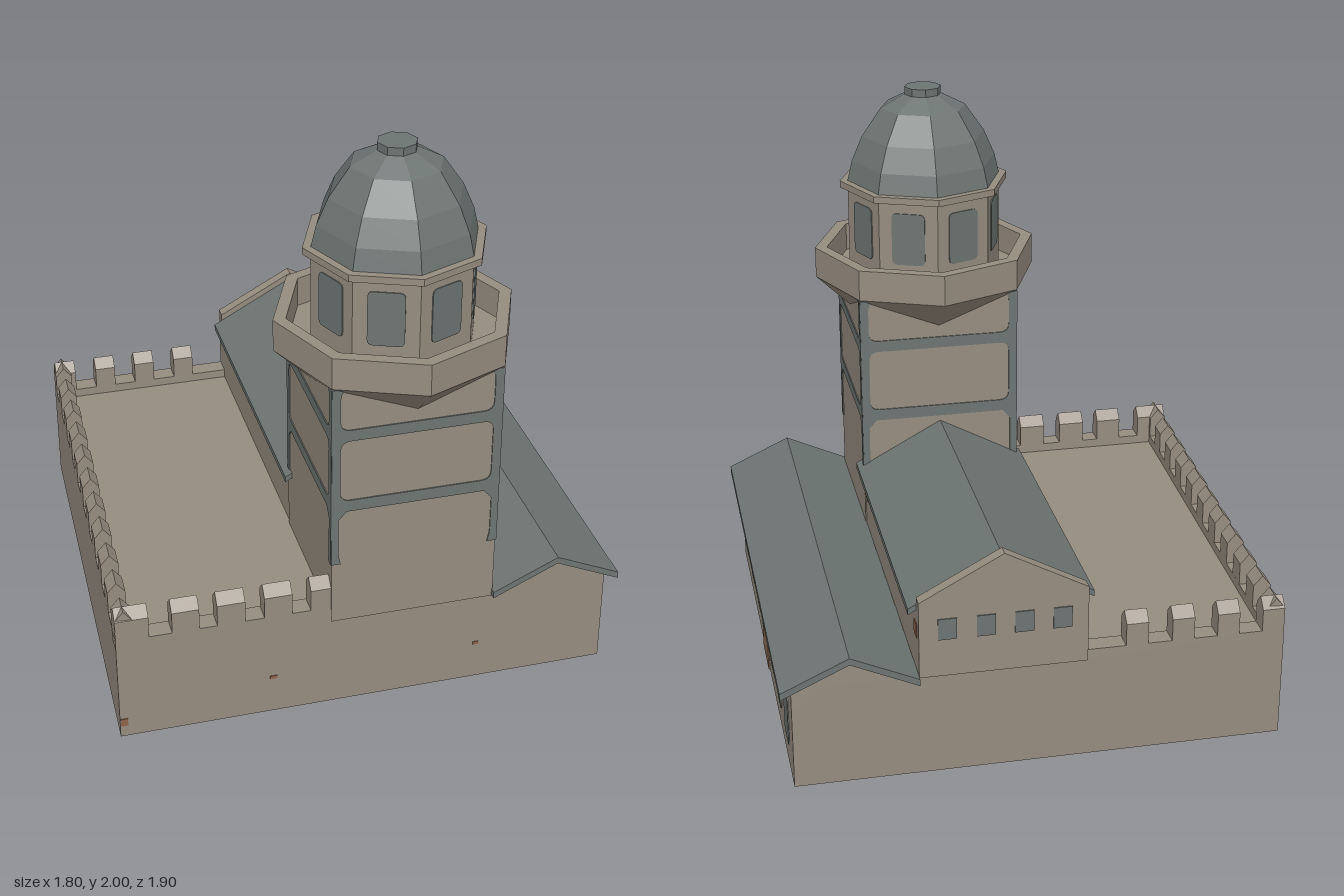
import * as THREE from 'three';

const mat = (name, color) => {
  const m = new THREE.MeshStandardMaterial({ color });
  m.name = name;
  return m;
};

export function createModel() {
  const stone = mat('stone', 0x978d80);
  const slate = mat('slate', 0x6d7573);
  const wood = mat('wood', 0x8a6853);
  const brick = mat('brick', 0x8f6449);

  const root = new THREE.Group();
  root.name = 'towerBuilding';

  const add = (name, geo, material, x = 0, y = 0, z = 0, ry = 0, parent = root) => {
    const m = new THREE.Mesh(geo, material);
    m.name = name;
    m.position.set(x, y, z);
    m.rotation.y = ry;
    parent.add(m);
    return m;
  };
  const group = (name, x = 0, z = 0) => {
    const g = new THREE.Group();
    g.name = name;
    g.position.set(x, 0, z);
    root.add(g);
    return g;
  };
  const poly = (pts) => new THREE.Shape(pts.map(([x, y]) => new THREE.Vector2(x, y)));
  const extrude = (shape, depth) => new THREE.ExtrudeGeometry(shape, { depth, bevelEnabled: false, curveSegments: 4 });
  const faceted = (geo) => {
    const g = geo.toNonIndexed();
    g.computeVertexNormals();
    return g;
  };
  // Box given by its limits
  const block = (name, material, x0, x1, y0, y1, z0, z1) =>
    add(name, new THREE.BoxGeometry(x1 - x0, y1 - y0, z1 - z0), material, (x0 + x1) / 2, (y0 + y1) / 2, (z0 + z1) / 2);
  // Pentagonal house section, extruded along z
  const house = (x0, x1, y0, eave, ridge, depth) =>
    extrude(poly([[x0, y0], [x1, y0], [x1, eave], [(x0 + x1) / 2, ridge], [x0, eave]]), depth);
  // Two-sided roof slab, extruded along z
  const roof = (x0, x1, eave, ridge, t, depth) => {
    const c = (x0 + x1) / 2;
    return extrude(poly([[x0, eave], [c, ridge - t], [x1, eave], [x1, eave + t], [c, ridge], [x0, eave + t]]), depth);
  };
  const rounded = (path, w, y0, y1, r) => {
    const a = w / 2;
    path.moveTo(-a + r, y0);
    path.lineTo(a - r, y0);
    path.quadraticCurveTo(a, y0, a, y0 + r);
    path.lineTo(a, y1 - r);
    path.quadraticCurveTo(a, y1, a - r, y1);
    path.lineTo(-a + r, y1);
    path.quadraticCurveTo(-a, y1, -a, y1 - r);
    path.lineTo(-a, y0 + r);
    path.quadraticCurveTo(-a, y0, -a + r, y0);
    return path;
  };

  // Main block, slightly skewed on its right-hand side
  const base = extrude(poly([[-0.9, -0.82], [0.86, -0.82], [0.86, 0.92], [-0.84, 0.92]]), 0.375);
  base.rotateX(-Math.PI / 2);
  add('base', base, stone);

  // Side wing with low roof, windows and door
  add('wingGable', house(0.47, 0.86, 0.3, 0.365, 0.47, 1.74), stone, 0, 0, -0.92);
  add('wingRoof', roof(0.433, 0.9, 0.355, 0.487, 0.025, 1.8), slate, 0, 0, -0.95);
  const wingWindow = extrude(rounded(new THREE.Shape(), 0.122, 0.09, 0.285, 0.02), 0.006);
  for (const z of [0.65, 0.418, 0.183, -0.283, -0.515, -0.75])
    add('wingWindow', wingWindow, slate, 0.858, 0, z, Math.PI / 2);
  block('door', wood, 0.858, 0.865, 0, 0.27, -0.14, 0.04);

  // Central hall with rear gable wall
  add('hallWalls', house(-0.145, 0.432, 0.37, 0.6, 0.76, 1.2), stone, 0, 0, -0.9);
  add('hallRoof', roof(-0.175, 0.46, 0.587, 0.78, 0.022, 1.17), slate, 0, 0, -0.88);
  add('rearGable', house(-0.145, 0.432, 0.37, 0.65, 0.805, 0.045), stone, 0, 0, -0.925);
  for (const x of [0.336, 0.205, 0.075, -0.056])
    block('gableWindow', slate, x - 0.032, x + 0.032, 0.508, 0.585, -0.929, -0.922);

  // Battlements
  const skew = 0.0345;
  const edgeX = (z) => -0.9 + (0.82 - z) * skew;
  const merlon = (x, z, len, ry, w) => {
    const g = house(-w / 2, w / 2, 0.4, 0.488, 0.525, len);
    g.translate(0, 0, -len / 2);
    add('merlon', g, stone, x, 0, z, ry);
  };
  block('frontParapet', stone, -0.9, -0.14, 0.37, 0.408, 0.75, 0.82);
  block('rearParapet', stone, -0.84, -0.14, 0.37, 0.408, -0.92, -0.85);
  add('sideParapet', new THREE.BoxGeometry(0.062, 0.038, 1.738), stone, edgeX(-0.05) + 0.031, 0.389, -0.05, -skew);
  for (const [x, len] of [[-0.842, 0.115], [-0.658, 0.095], [-0.5, 0.098], [-0.335, 0.098], [-0.183, 0.075]])
    merlon(x, 0.785, len, Math.PI / 2, 0.07);
  for (const x of [-0.8, -0.64, -0.48, -0.318])
    merlon(x, -0.885, 0.078, Math.PI / 2, 0.07);
  for (let i = 0; i < 11; i++) {
    const z = -0.87 + i * 0.1645;
    merlon(edgeX(z) + 0.031, z, 0.085, -skew, 0.062);
  }

  // Square tower shaft
  const tower = group('tower', 0.143, 0.532);
  add('shaft', new THREE.BoxGeometry(0.586, 0.93, 0.586), stone, 0, 0.815, 0, 0, tower);

  // Slate corner strips and bands around the shaft
  const a = 0.295, b = 0.262;
  const trim = poly([[-a, 0.59], [-b, 0.59], [-b - 0.008, 0.63], [-b - 0.008, 0.77], [-b + 0.02, 0.802],
    [b - 0.02, 0.802], [b + 0.008, 0.77], [b + 0.008, 0.63], [b, 0.59], [a, 0.59], [a, 1.279], [-a, 1.279]]);
  for (const [y0, y1] of [[0.845, 1.078], [1.12, 1.277]])
    trim.holes.push(rounded(new THREE.Path(), 0.53, y0, y1, 0.035));
  const trimGeo = extrude(trim, 0.004);
  trimGeo.translate(0, 0, 0.293);
  for (let i = 0; i < 4; i++) add('shaftTrim', trimGeo, slate, 0, 0, 0, i * Math.PI / 2, tower);

  // Octagonal gallery
  const octagon = (rTop, rBottom, h) => faceted(new THREE.CylinderGeometry(rTop, rBottom, h, 8));
  const ringPts = (r) => Array.from({ length: 8 }, (_, i) =>
    [r * Math.cos(i * Math.PI / 4), r * Math.sin(i * Math.PI / 4)]);
  add('galleryCorbel', octagon(0.418, 0.293, 0.12), stone, 0, 1.225, 0, 0, tower);
  const ring = poly(ringPts(0.418));
  ring.holes.push(poly(ringPts(0.373)));
  const parapet = extrude(ring, 0.115);
  parapet.rotateX(-Math.PI / 2);
  add('galleryParapet', parapet, stone, 0, 1.285, 0, 0, tower);
  add('galleryFloor', octagon(0.39, 0.39, 0.02), stone, 0, 1.285, 0, 0, tower);

  // Lantern room with a window on each side
  add('lantern', octagon(0.288, 0.288, 0.36), stone, 0, 1.46, 0, 0, tower);
  const pane = extrude(rounded(new THREE.Shape(), 0.124, 1.392, 1.588, 0.02), 0.006);
  pane.translate(0, 0, 0.288 * Math.cos(Math.PI / 8) - 0.002);
  for (let i = 0; i < 8; i++) add('lanternWindow', pane, slate, 0, 0, 0, (i + 0.5) * Math.PI / 4, tower);
  add('cornice', octagon(0.317, 0.317, 0.025), stone, 0, 1.643, 0, 0, tower);

  // Ribbed dome and cap
  const profile = [[0.288, 1.655], [0.27, 1.73], [0.23, 1.822], [0.158, 1.925], [0.068, 1.972], [0, 1.972]];
  const dome = new THREE.LatheGeometry(profile.map(([x, y]) => new THREE.Vector2(x, y)), 8);
  add('dome', faceted(dome), slate, 0, 0, 0, 0, tower);
  add('domeCap', octagon(0.068, 0.068, 0.04), slate, 0, 1.98, 0, 0, tower);

  // Patches of bare brick
  for (const [z, y, w, h] of [[0.24, 0.505, 0.13, 0.025], [0.57, 0.51, 0.06, 0.01], [-0.87, 0.53, 0.05, 0.05]])
    block('brickPatch', brick, 0.43, 0.435, y - h / 2, y + h / 2, z - w / 2, z + w / 2);
  for (const [x, y, w, h] of [[-0.885, 0.06, 0.025, 0.03], [-0.355, 0.148, 0.025, 0.012], [0.385, 0.148, 0.02, 0.012]])
    block('brickPatch', brick, x - w / 2, x + w / 2, y - h / 2, y + h / 2, 0.818, 0.823);

  return root;
}
